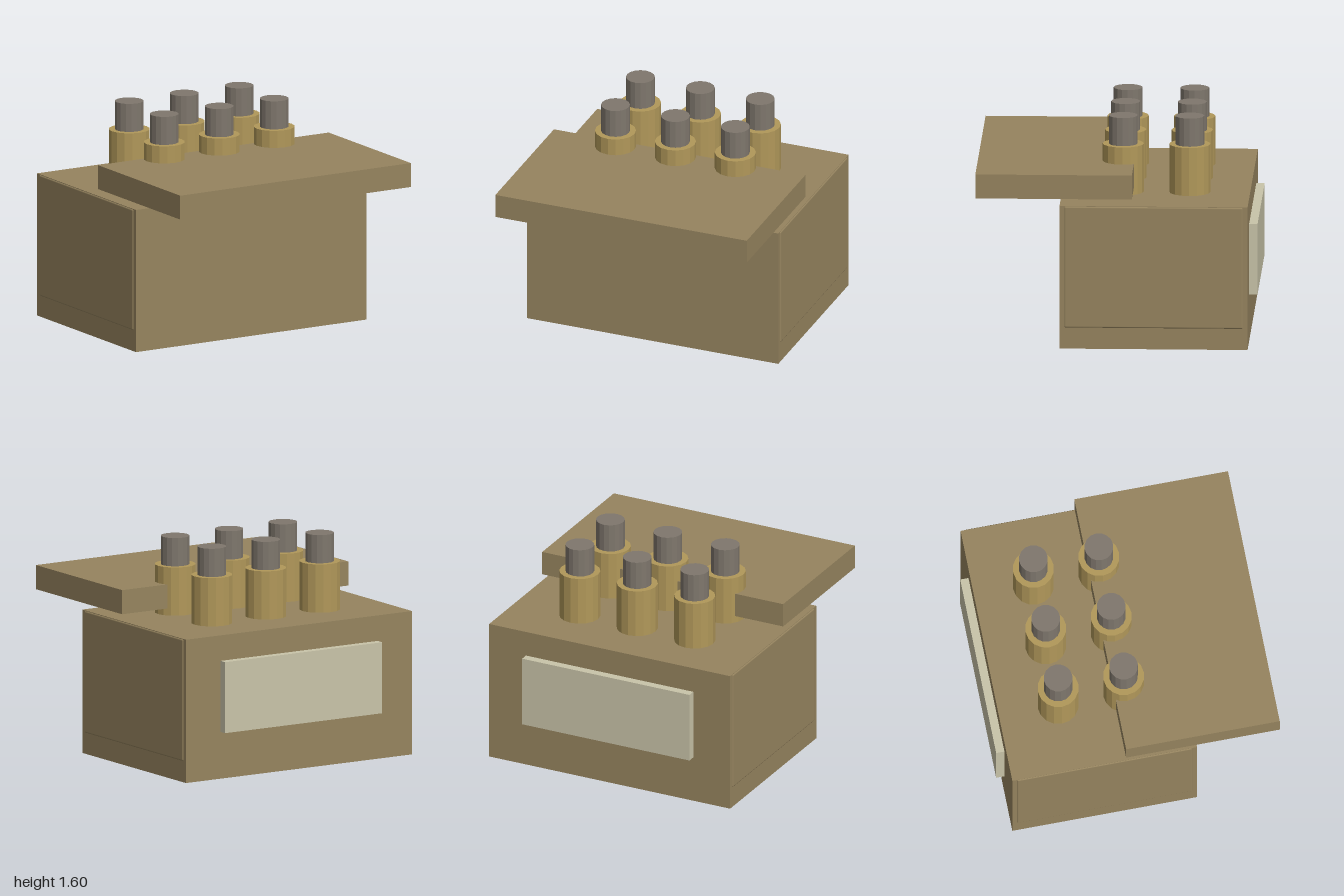
import * as THREE from 'three';
import { RoundedBoxGeometry } from 'three/addons/geometries/RoundedBoxGeometry.js';

const material = (name, color, flatShading = false) => {
  const m = new THREE.MeshStandardMaterial({ color, flatShading });
  m.name = name;
  return m;
};

export function createModel() {
  const group = new THREE.Group();
  const tan = material('tan casing', 0x96845f);
  const brass = material('brass', 0xb1985a, true);
  const grey = material('grey metal', 0x7f776d, true);
  const cream = material('cream plate', 0xc9c4a9);

  const add = (name, geometry, mat, x, y, z) => {
    const mesh = new THREE.Mesh(geometry, mat);
    mesh.name = name;
    mesh.position.set(x, y, z);
    group.add(mesh);
  };
  // Box given by its lower and upper limits in y and z, centred on x
  const addBox = (name, mat, width, y0, y1, z0, z1) =>
    add(name, new THREE.BoxGeometry(width, y1 - y0, z1 - z0), mat, 0, (y0 + y1) / 2, (z0 + z1) / 2);

  // Casing, overhanging shelf and rear plate
  addBox('body', tan, 1.93, 0, 1.04, -0.94, 0.4);
  addBox('shelf', tan, 1.93, 1.09, 1.265, -0.115, 1);
  addBox('rearPlate', cream, 1.34, 0.34, 0.855, -1, -0.94);

  // Slightly raised side panels with softened edges
  for (const side of [-1, 1]) {
    const panel = new RoundedBoxGeometry(0.04, 0.885, 1.275, 3, 0.012);
    add(side > 0 ? 'leftPanel' : 'rightPanel', panel, tan, side * 0.951, 0.595, -0.27);
  }

  // Two rows of three posts: brass collar with a grey pin
  for (const z of [-0.035, -0.51]) {
    for (const x of [-0.46, 0, 0.46]) {
      add('collar', new THREE.CylinderGeometry(0.147, 0.147, 0.35, 16), brass, x, 1.215, z);
      add('pin', new THREE.CylinderGeometry(0.103, 0.103, 0.205, 16), grey, x, 1.4925, z);
    }
  }
  return group;
}
